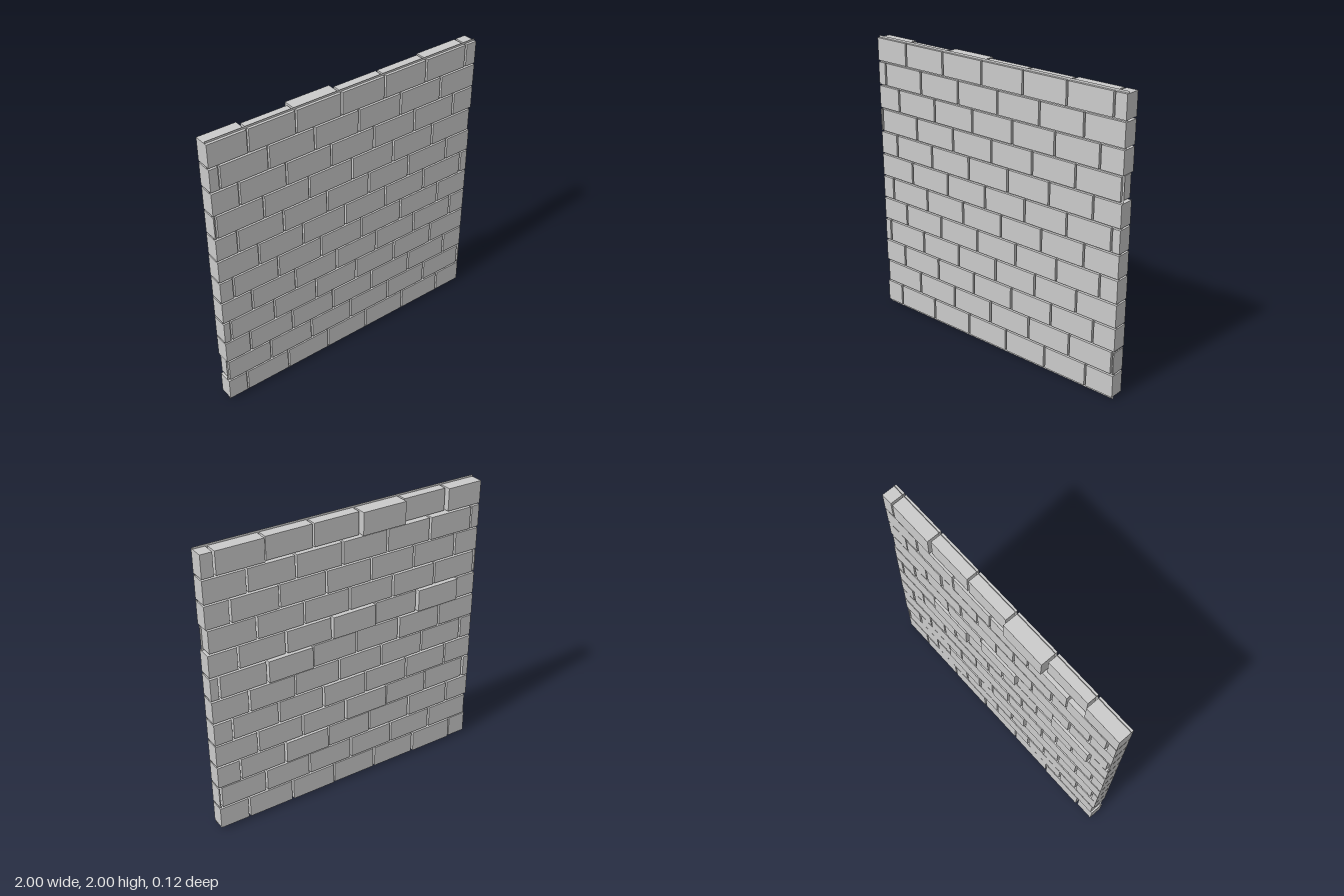
import * as THREE from 'three';

const FRONT = 0.06;        // common front plane of the bricks
const PITCH_X = 0.33, PITCH_Y = 0.1648;
const GAP = 0.014, BRICK_H = 0.153;

// centre of the first vertical joint in each course, bottom to top
const firstJoint = [-0.86, -0.995, -0.815, -0.95, -0.78, -0.905,
  -0.71, -0.85, -0.985, -0.815, -0.935, -0.735];

// bricks whose back sticks out or sits in: course -> { brick: back depth }
const special = {
  2: { 4: 0.05 }, 3: { 3: 0.05 }, 4: { 3: 0.047 }, 6: { 4: 0.053 },
  7: { 1: 0.058, 3: 0.055 }, 10: { 1: 0.047 },
  11: { 0: 0.045, 1: 0.02, 2: 0.06, 3: 0.03, 4: 0.03, 5: 0.045, 6: 0.045 },
};

// small seeded generator for the uneven backs
function seeded(seed) {
  return () => (seed = (seed * 16807) % 2147483647) / 2147483647;
}

export function createModel() {
  const wall = new THREE.Group();
  wall.name = 'brickWall';
  const material = new THREE.MeshStandardMaterial({ color: 0xcccccc, flatShading: true });
  const random = seeded(7);

  // thin mortar sheet closing the joints
  const mortar = new THREE.Mesh(
    new THREE.PlaneGeometry(2, 2),
    new THREE.MeshStandardMaterial({ color: 0xcccccc, side: THREE.DoubleSide }));
  mortar.name = 'mortarSheet';
  mortar.position.set(0, 1, FRONT - 0.018);
  wall.add(mortar);

  // staggered courses, cut off at both ends of the wall
  firstJoint.forEach((joint, row) => {
    const course = new THREE.Group();
    course.name = `course${row + 1}`;
    for (let i = 0; joint + (i - 1) * PITCH_X < 1; i++) {
      const right = Math.min(1, joint + i * PITCH_X - GAP / 2);
      const left = Math.max(-1, joint + (i - 1) * PITCH_X + GAP / 2);
      const back = special[row]?.[i] ?? 0.038 + 0.007 * random();
      if (right - left < 0.004) continue;
      const depth = FRONT + back;
      const brick = new THREE.Mesh(new THREE.BoxGeometry(right - left, BRICK_H, depth), material);
      brick.name = 'brick';
      brick.position.set((left + right) / 2, 0.021 + row * PITCH_Y + BRICK_H / 2, FRONT - depth / 2);
      course.add(brick);
    }
    wall.add(course);
  });
  return wall;
}
